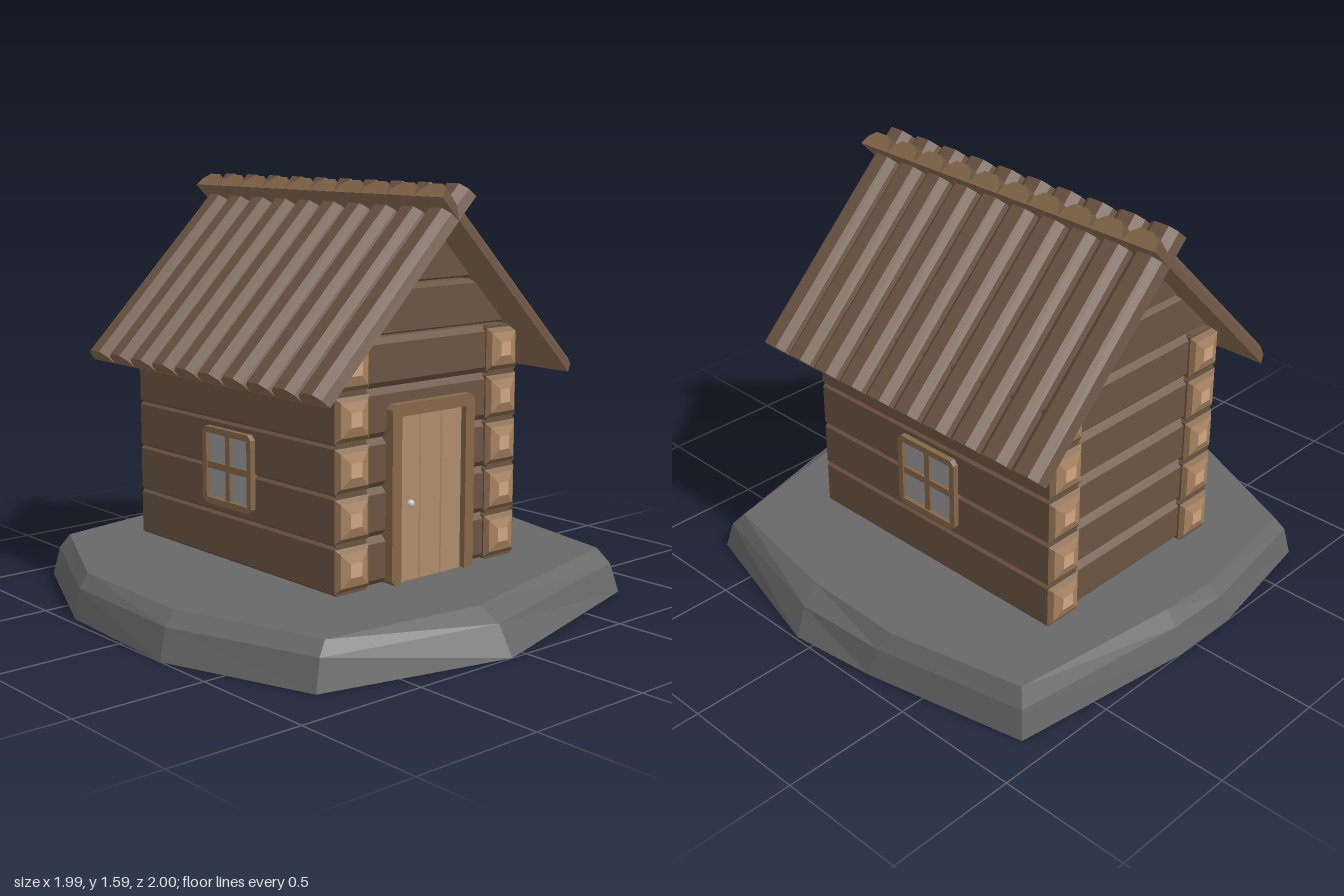
import * as THREE from 'three';

const mat = (color, side = THREE.FrontSide) =>
  new THREE.MeshStandardMaterial({ color, flatShading: true, roughness: 1, side });
const WOOD = mat(0x6b5442), TRIM = mat(0x846749), CUT = mat(0xa9835f), HEART = mat(0xd0a583);
const DOOR = mat(0xb08c6c), GLASS = mat(0x9a9a9a), METAL = mat(0xcccccc);
const STONE = mat(0x686868, THREE.DoubleSide), UNDER = mat(0x846a50, THREE.DoubleSide);

const CX = 0.02, CZ = -0.1;          // house centre
const HALF_X = 0.45, HALF_Z = 0.59;  // wall half sizes
const ROW = 0.178, FLOOR = 0.167;    // log row height and floor level

function add(parent, name, geometry, material, x = 0, y = 0, z = 0) {
  const mesh = new THREE.Mesh(geometry, material);
  mesh.name = name;
  mesh.position.set(x, y, z);
  parent.add(mesh);
  return mesh;
}

function group(parent, name, x = 0, y = 0, z = 0) {
  const g = new THREE.Group();
  g.name = name;
  g.position.set(x, y, z);
  parent.add(g);
  return g;
}

const polygon = (points) => new THREE.Shape(points.map(([x, y]) => new THREE.Vector2(x, y)));

// Chamfered log lying along z, centred
function logGeometry(length, width, height, c) {
  const w = width / 2, h = height / 2;
  const shape = polygon([[-w + c, -h], [w - c, -h], [w, -h + c], [w, h - c],
    [w - c, h], [-w + c, h], [-w, h - c], [-w, -h + c]]);
  return new THREE.ExtrudeGeometry(shape, { depth: length, bevelEnabled: false })
    .translate(0, 0, -length / 2);
}

// Frame with cut corners around a rectangular opening, facing +z
function frameGeometry(w, h, border, bottom, depth) {
  const x = w / 2, y = h / 2, c = 0.018;
  const shape = polygon([[-x + c, -y], [x - c, -y], [x, -y + c], [x, y - c],
    [x - c, y], [-x + c, y], [-x, y - c], [-x, -y + c]]);
  const i = x - border, t = y - border, b = -y + bottom;
  shape.holes.push(polygon([[-i, b], [-i, t], [i, t], [i, b]]));
  return new THREE.ExtrudeGeometry(shape, { depth, bevelEnabled: false });
}

// Faceted stone slab, open underneath: three rings and a top fan
function stoneBase() {
  const outer = [[-0.2, -1], [0.09, -1], [0.82, -0.9], [0.95, -0.27], [0.99, 0.08], [0.81, 0.74],
    [-0.07, 1], [-0.8, 0.83], [-1, 0.25], [-0.97, -0.34], [-0.72, -0.91]];
  const inner = [[-0.14, -0.94], [0.09, -0.93], [0.77, -0.85], [0.88, -0.32], [0.87, 0.1], [0.77, 0.66],
    [-0.09, 0.86], [-0.72, 0.78], [-0.91, 0.2], [-0.9, -0.36], [-0.67, -0.86]];
  const n = outer.length, pos = [], index = [];
  const ring = (t, height) => outer.forEach(([x, z], i) => pos.push(
    x + (inner[i][0] - x) * t, height(inner[i]), z + (inner[i][1] - z) * t));
  ring(0, () => 0);
  ring(0.4, () => 0.11);
  ring(1, ([x, z]) => 0.164 + 0.008 * x - 0.006 * z);
  pos.push(0, 0.167, 0);
  for (let i = 0; i < n; i++) {
    const j = (i + 1) % n;
    for (const r of [0, n]) {
      const a = r + i, b = r + j;
      index.push(a, a + n, b + n, a, b + n, b);
    }
    index.push(3 * n, 2 * n + j, 2 * n + i);
  }
  const g = new THREE.BufferGeometry();
  g.setAttribute('position', new THREE.Float32BufferAttribute(pos, 3));
  g.setIndex(index);
  const flat = g.toNonIndexed();
  flat.computeVertexNormals();
  return flat;
}

// Square frustum facing +z, starting at z = 0
const frustum = (baseHalf, topHalf, depth) =>
  new THREE.CylinderGeometry(topHalf * Math.SQRT2, baseHalf * Math.SQRT2, depth, 4)
    .rotateY(Math.PI / 4).rotateX(Math.PI / 2).translate(0, 0, depth / 2);

function buildWalls(house) {
  const sideLog = logGeometry(2 * HALF_Z, 0.155, ROW, 0.01);
  const endLog = logGeometry(0.64, 0.12, ROW, 0.022).rotateY(Math.PI / 2);
  const capOuter = frustum(0.079, 0.062, 0.014), capInner = frustum(0.062, 0.026, 0.012);
  const capHeart = new THREE.PlaneGeometry(0.052, 0.052);
  for (let row = 0; row < 5; row++) {
    const y = FLOOR + ROW * (row + 0.5);
    for (const s of [-1, 1]) {
      add(house, 'sideLog', sideLog, WOOD, s * (HALF_X - 0.0775), y, 0);
      add(house, 'endWallLog', endLog, WOOD, 0, y, s * (HALF_Z - 0.07));
      // Rounded cut ends at the corners
      for (const e of [-1, 1]) {
        const cap = group(house, 'logEnd', s * (HALF_X - 0.08), y, e * HALF_Z);
        cap.rotation.y = e > 0 ? 0 : Math.PI;
        add(cap, 'logEndEdge', capOuter, TRIM);
        add(cap, 'logEndCut', capInner, CUT, 0, 0, 0.014);
        add(cap, 'logEndHeart', capHeart, HEART, 0, 0, 0.0265);
      }
    }
  }
}

// Stepped boards filling both gable triangles
function buildGables(house) {
  const bevel = 0.015, half = (y) => 1.46 - y;
  for (const [y0, y1] of [[1.057, 1.235], [1.235, 1.41], [1.41, 1.455]]) {
    const a = y0 + bevel, b = y1 - bevel;
    const shape = polygon([[-half(a), a], [half(a), a], [half(b), b], [-half(b), b]]);
    const board = new THREE.ExtrudeGeometry(shape, {
      depth: 0.08, bevelSize: bevel, bevelThickness: 0.02, bevelSegments: 1 });
    for (const s of [-1, 1]) add(house, 'gableBoard', board, WOOD, 0, 0, s * (HALF_Z - 0.07) - 0.04);
  }
}

function buildRoof(house) {
  const count = 10, step = 0.143, w = step / 2, length = 0.95, middle = 0.015;
  const profile = polygon([[-w, 0], [w, 0], [0.06, 0.036], [0.03, 0.062], [-0.03, 0.062], [-0.06, 0.036]]);
  const roofLog = new THREE.ExtrudeGeometry(profile, { depth: length, bevelEnabled: false });
  const lining = new THREE.PlaneGeometry(count * step, length)
    .rotateX(Math.PI / 2).translate(0, -0.001, length / 2);
  for (const s of [-1, 1]) {
    const slope = group(house, s > 0 ? 'leftRoofSlope' : 'rightRoofSlope', -s * 0.082, 1.545, middle);
    const k = Math.SQRT1_2;
    slope.quaternion.setFromRotationMatrix(new THREE.Matrix4().makeBasis(
      new THREE.Vector3(0, 0, -s), new THREE.Vector3(s * k, k, 0), new THREE.Vector3(s * k, -k, 0)));
    for (let i = 0; i < count; i++) {
      add(slope, 'roofLog', roofLog, [TRIM, WOOD], (i - (count - 1) / 2) * step, 0, 0);
    }
    add(slope, 'roofLining', lining, UNDER);
  }
}

function buildDoor(house) {
  const door = group(house, 'door', 0.005, 0.49, HALF_Z);
  add(door, 'doorFrame', frameGeometry(0.41, 0.66, 0.045, 0, 0.09), TRIM, 0, 0, -0.065);
  const plank = logGeometry(0.61, 0.106, 0.04, 0.004).rotateX(Math.PI / 2);
  for (const i of [-1, 0, 1]) add(door, 'doorPlank', plank, DOOR, i * 0.106, -0.022, -0.015);
  add(door, 'doorKnob', new THREE.SphereGeometry(0.014, 10, 8), METAL, -0.105, -0.04, 0.014);
}

function buildWindows(house) {
  const frame = frameGeometry(0.295, 0.295, 0.024, 0.024, 0.04);
  const pane = new THREE.BoxGeometry(0.25, 0.25, 0.01);
  for (const s of [-1, 1]) {
    const win = group(house, 'window', s * HALF_X, 0.527, 0);
    win.rotation.y = s * Math.PI / 2;
    add(win, 'windowFrame', frame, TRIM, 0, 0, -0.018);
    add(win, 'windowPane', pane, GLASS);
    add(win, 'windowBar', new THREE.BoxGeometry(0.026, 0.25, 0.02), TRIM, 0, 0, 0.006);
    add(win, 'windowBar', new THREE.BoxGeometry(0.25, 0.026, 0.02), TRIM, 0, 0, 0.006);
  }
}

export function createModel() {
  const model = new THREE.Group();
  model.name = 'logCabin';
  add(model, 'stoneBase', stoneBase(), STONE);
  const house = group(model, 'house', CX, 0, CZ);
  buildWalls(house);
  buildGables(house);
  buildRoof(house);
  buildDoor(house);
  buildWindows(house);
  return model;
}
